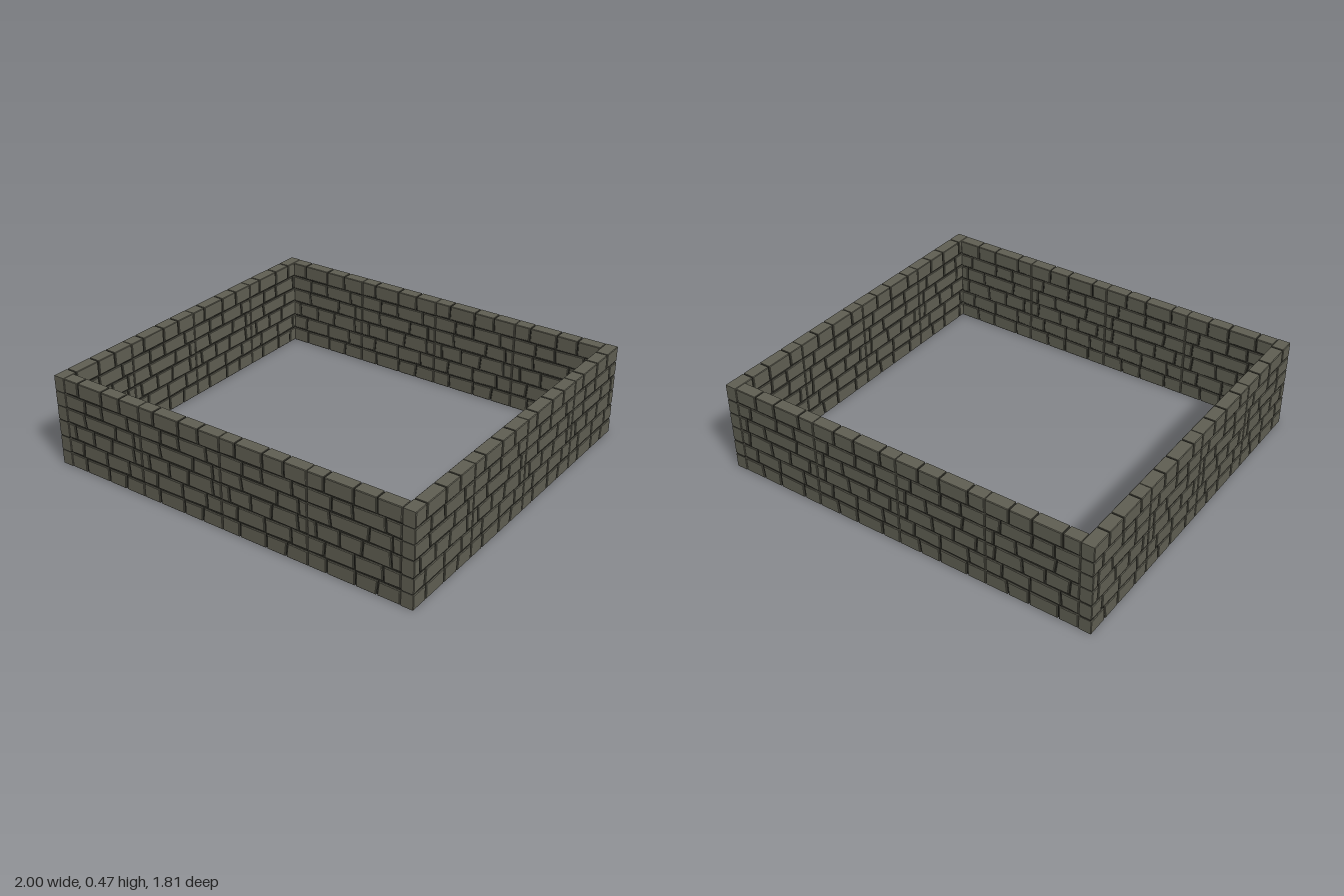
import * as THREE from 'three';
import { mergeGeometries } from 'three/addons/utils/BufferGeometryUtils.js';

const HEIGHT = 0.47, THICK = 0.064, LENGTH = 0.47, GAP = 0.004, BEVEL = 0.003;

// Heights of the course joints, from the ground up
const levels = [0, 0.077, 0.157, 0.24, 0.318, 0.393, HEIGHT];
// Upright joints of each course, as fractions of the panel length
const joints = [
  [0.22, 0.53, 0.76],
  [0.19, 0.51, 0.82],
  [0.10, 0.36, 0.60, 0.90],
  [0.25, 0.66, 0.90],
  [0.26, 0.49, 0.83],
  [0.19, 0.50, 0.74],
];

function makeRandom(seed) {
  return () => (seed = (seed * 16807) % 2147483647) / 2147483647;
}

// One stone: an irregular four-sided block with bevelled faces
function stoneGeometry(corners) {
  const shape = new THREE.Shape(corners.map(([x, y]) => new THREE.Vector2(x, y)));
  const geometry = new THREE.ExtrudeGeometry(shape, {
    depth: THICK - 2 * BEVEL, bevelEnabled: true, bevelSegments: 1,
    bevelThickness: BEVEL, bevelSize: BEVEL, bevelOffset: -BEVEL,
  });
  return geometry.translate(0, 0, BEVEL - THICK / 2);
}

// All stones of one wall panel, centred on x and z
function panelGeometry() {
  const random = makeRandom(77);
  const wobble = (amount) => (random() - 0.5) * amount;
  const stones = [];
  joints.forEach((cuts, row) => {
    const edges = [0, ...cuts, 1].map((f) => {
      const inner = f > 0 && f < 1;
      const x = (f - 0.5) * LENGTH;
      return [x + (inner ? wobble(0.01) : 0), x + (inner ? wobble(0.01) : 0)];
    });
    const bottom = row > 0, top = row < 5;
    const low = () => levels[row] + (bottom ? GAP + wobble(0.005) : 0);
    const high = () => levels[row + 1] - (top ? GAP + wobble(0.005) : 0);
    for (let i = 0; i < edges.length - 1; i++) {
      const l = edges[i], r = edges[i + 1];
      const gl = i === 0 ? GAP / 2 : GAP;
      const gr = i === edges.length - 2 ? GAP / 2 : GAP;
      stones.push(stoneGeometry([
        [l[0] + gl, low()], [r[0] - gr, low()],
        [r[1] - gr, high()], [l[1] + gl, high()],
      ]));
    }
  });
  return mergeGeometries(stones);
}

export function createModel() {
  const model = new THREE.Group();
  model.name = 'stoneEnclosure';
  const stone = new THREE.MeshStandardMaterial({ color: 0x5f5e52 });
  const mortar = new THREE.MeshStandardMaterial({ color: 0x2a2a24 });
  const stones = panelGeometry();
  // Recessed core that shows as dark joints
  const core = new THREE.BoxGeometry(LENGTH - 0.009, HEIGHT - 0.008, THICK - 0.012);
  core.translate(0, HEIGHT / 2, 0);

  function addWall(name, x, z, angle, panelLength) {
    const wall = new THREE.Group();
    wall.name = name;
    for (let i = 0; i < 4; i++) {
      const panel = new THREE.Group();
      panel.name = 'wallPanel';
      panel.position.x = (i - 1.5) * panelLength;
      panel.scale.x = panelLength / LENGTH;
      const blocks = new THREE.Mesh(stones, stone);
      blocks.name = 'stones';
      const filling = new THREE.Mesh(core, mortar);
      filling.name = 'mortar';
      panel.add(blocks, filling);
      wall.add(panel);
    }
    wall.position.set(x, 0, z);
    wall.rotation.y = angle;
    model.add(wall);
  }

  // Side walls run the full depth; front and back fit between them
  const sideX = 1 - THICK / 2, endZ = 0.904 - THICK / 2;
  addWall('frontWall', 0, endZ, 0, 0.468);
  addWall('backWall', 0, -endZ, 0, 0.468);
  addWall('leftWall', sideX, 0, Math.PI / 2, 0.453);
  addWall('rightWall', -sideX, 0, Math.PI / 2, 0.453);
  return model;
}
